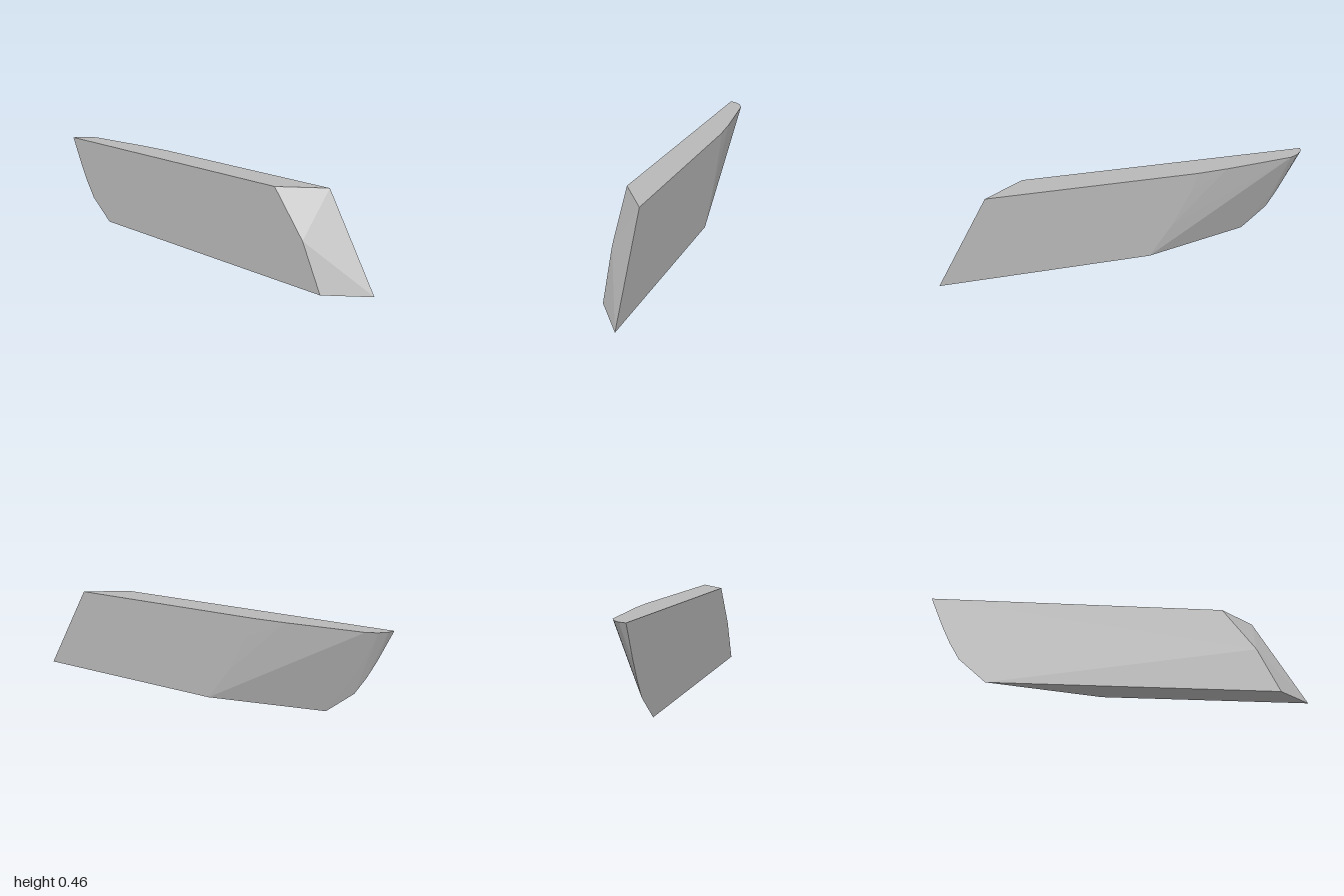
import * as THREE from 'three';
import { ConvexGeometry } from 'three/addons/geometries/ConvexGeometry.js';

const HEIGHT = 0.46;
const FRONT = 0.077;
const BACK = -0.077;

export function createModel() {
  const grey = new THREE.MeshStandardMaterial({ color: 0xb8b8b8 });
  grey.name = 'light grey';

  // Flat front panel: curved left end, slanted right end (x, y)
  const frontOutline = [
    [-1, HEIGHT], [-0.93, 0.3], [-0.885, 0.21], [-0.83, 0.12], [-0.69, 0],
    [0.81, 0], [0.7, 0.235], [0.53, HEIGHT],
  ];
  // Flat back panel, shorter at the left (x, y)
  const backOutline = [
    [1, 0], [0.73, HEIGHT], [-0.35, HEIGHT], [-0.32, 0.36], [-0.22, 0.17], [-0.1, 0],
  ];
  // Rounded nose along the top rim (x, z)
  const topRim = [[-0.985, 0.04], [-0.95, 0.005], [-0.9, -0.02], [-0.52, -0.065]];

  const points = [
    ...frontOutline.map(([x, y]) => new THREE.Vector3(x, y, FRONT)),
    ...backOutline.map(([x, y]) => new THREE.Vector3(x, y, BACK)),
    ...topRim.map(([x, z]) => new THREE.Vector3(x, HEIGHT, z)),
    // Lower facet of the nose
    new THREE.Vector3(-0.85, 0.24, 0.04),
  ];

  const slab = new THREE.Mesh(new ConvexGeometry(points), grey);
  slab.name = 'bevelledSlab';

  const group = new THREE.Group();
  group.name = 'facetedSlab';
  group.add(slab);
  return group;
}
